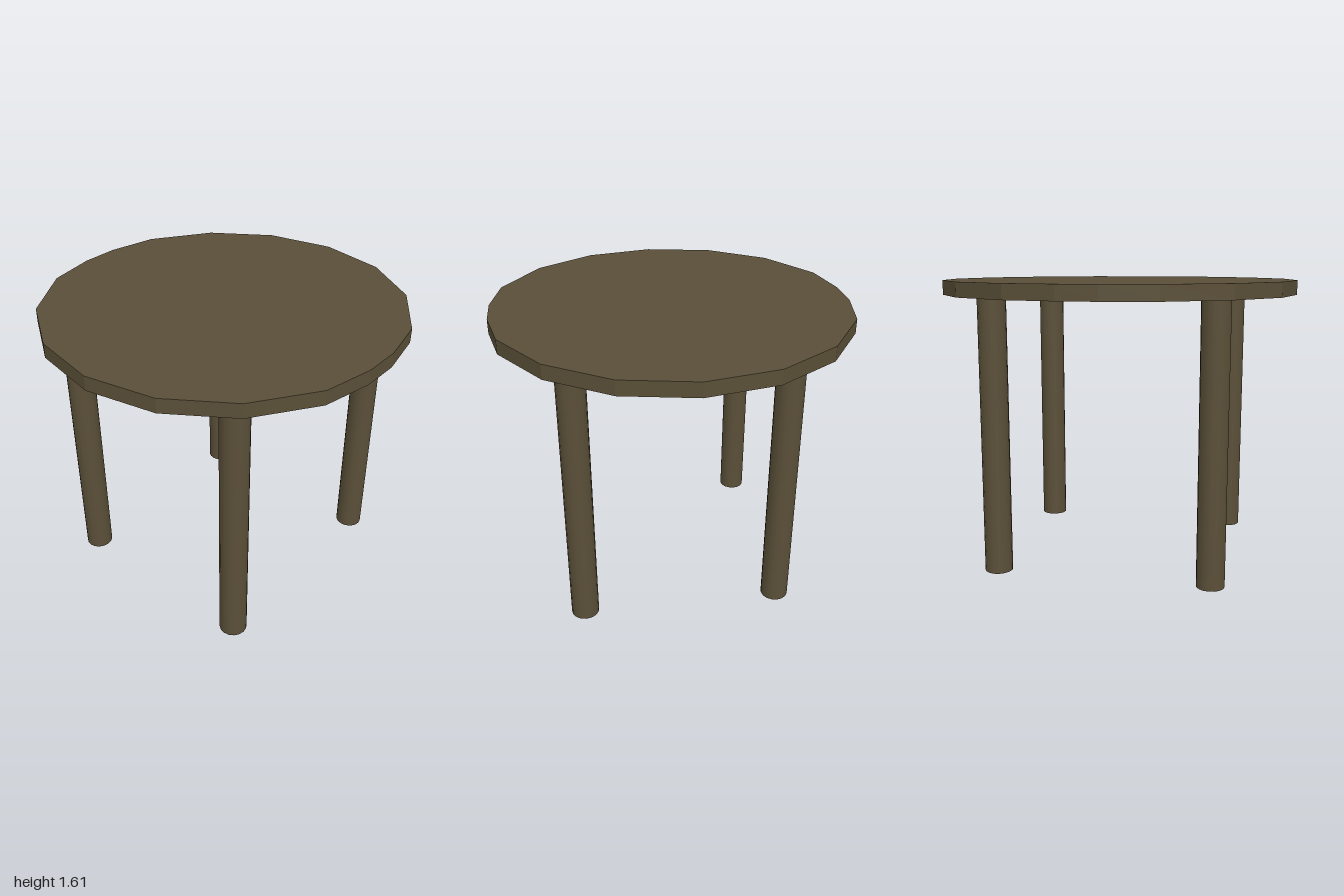
import * as THREE from 'three';

const TOP_Y = 1.605, UNDER_Y = 1.525;

export function createModel() {
  const group = new THREE.Group();
  const wood = new THREE.MeshStandardMaterial({ color: 0x5a4f38 });
  wood.name = 'dark wood';

  // Table top: sixteen-sided disc with its two side corners trimmed flat
  const outline = [];
  for (let i = 0; i < 16; i++) {
    const a = (i / 16) * Math.PI * 2;
    const x = Math.cos(a), y = Math.sin(a);
    if (i % 8 === 0) {
      outline.push(new THREE.Vector2(x * 0.98, -x * 0.105), new THREE.Vector2(x * 0.98, x * 0.105));
    } else {
      outline.push(new THREE.Vector2(x, y));
    }
  }
  const topGeometry = new THREE.ExtrudeGeometry(new THREE.Shape(outline), {
    depth: TOP_Y - UNDER_Y, bevelEnabled: false,
  });
  topGeometry.rotateX(-Math.PI / 2);
  const top = new THREE.Mesh(topGeometry, wood);
  top.name = 'tableTop';
  top.position.y = UNDER_Y;
  group.add(top);

  // Four round legs, set slightly off centre
  const legGeometry = new THREE.CylinderGeometry(0.077, 0.077, UNDER_Y, 16);
  for (const [sideX, x] of [['Right', -0.528], ['Left', 0.577]]) {
    for (const [sideZ, z] of [['front', 0.605], ['back', -0.585]]) {
      const leg = new THREE.Mesh(legGeometry, wood);
      leg.name = `${sideZ}${sideX}Leg`;
      leg.position.set(x, UNDER_Y / 2, z);
      group.add(leg);
    }
  }
  return group;
}
